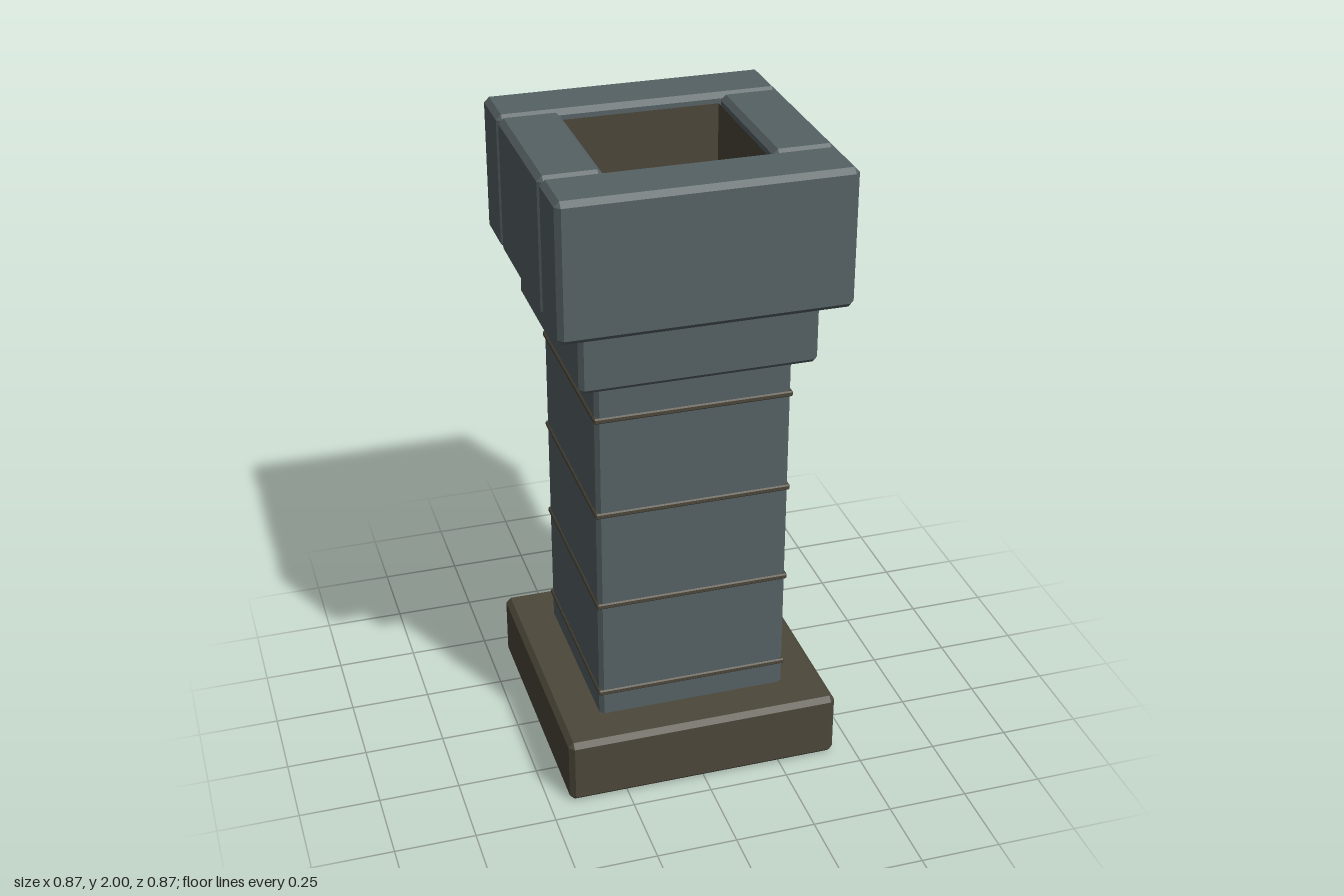
import * as THREE from 'three';
import { ConvexGeometry } from 'three/addons/geometries/ConvexGeometry.js';

// Box with flat chamfers on every edge; size w,h,d and chamfer c
function chamferBox(w, h, d, c) {
  const pts = [];
  for (const sx of [-1, 1]) for (const sy of [-1, 1]) for (const sz of [-1, 1]) {
    const x = w / 2, y = h / 2, z = d / 2;
    pts.push(
      new THREE.Vector3(sx * x, sy * (y - c), sz * (z - c)),
      new THREE.Vector3(sx * (x - c), sy * y, sz * (z - c)),
      new THREE.Vector3(sx * (x - c), sy * (y - c), sz * z)
    );
  }
  return new ConvexGeometry(pts);
}

export function createModel() {
  const stone = new THREE.MeshStandardMaterial({ color: 0x566164 });
  stone.name = 'slate stone';
  const earth = new THREE.MeshStandardMaterial({ color: 0x4c473a });
  earth.name = 'dark brown stone';

  const model = new THREE.Group();
  model.name = 'chimney';

  function block(name, mat, w, d, y0, y1, c, x = 0, z = 0) {
    const mesh = new THREE.Mesh(chamferBox(w, y1 - y0, d, c), mat);
    mesh.name = name;
    mesh.position.set(x, (y0 + y1) / 2, z);
    model.add(mesh);
  }

  // Plinth, shaft and corbel
  block('base', earth, 0.868, 0.868, 0, 0.215, 0.016);
  block('shaft', stone, 0.6, 0.6, 0.19, 1.4, 0.013);
  block('corbel', stone, 0.717, 0.717, 1.376, 1.58, 0.014);

  // Mortar joints around the shaft
  for (let i = 0; i < 4; i++) {
    const y = 0.295 + i * 0.32;
    block('mortarJoint', earth, 0.609, 0.609, y - 0.009, y + 0.009, 0.004);
  }

  // Cap ring: two long blocks front and back, two short ones between
  const inner = 0.246, outer = 0.434, t = outer - inner, mid = (inner + outer) / 2;
  for (const s of [-1, 1]) {
    block(s > 0 ? 'capFront' : 'capBack', stone, 2 * outer, t, 1.576, 2, 0.016, 0, s * mid);
    block(s > 0 ? 'capLeft' : 'capRight', stone, t, 2 * inner, 1.576, 2, 0.016, s * mid, 0);
  }

  // Flue: a floor slab and four thin lining sheets facing inward
  block('flueFloor', earth, 0.482, 0.482, 1.56, 1.6, 0.014);
  const sheet = new THREE.PlaneGeometry(0.488, 0.39);
  for (let i = 0; i < 4; i++) {
    const a = i * Math.PI / 2;
    const lining = new THREE.Mesh(sheet, earth);
    lining.name = 'flueLining';
    lining.rotation.y = a;
    lining.position.set(-0.244 * Math.sin(a), 1.775, -0.244 * Math.cos(a));
    model.add(lining);
  }

  return model;
}
